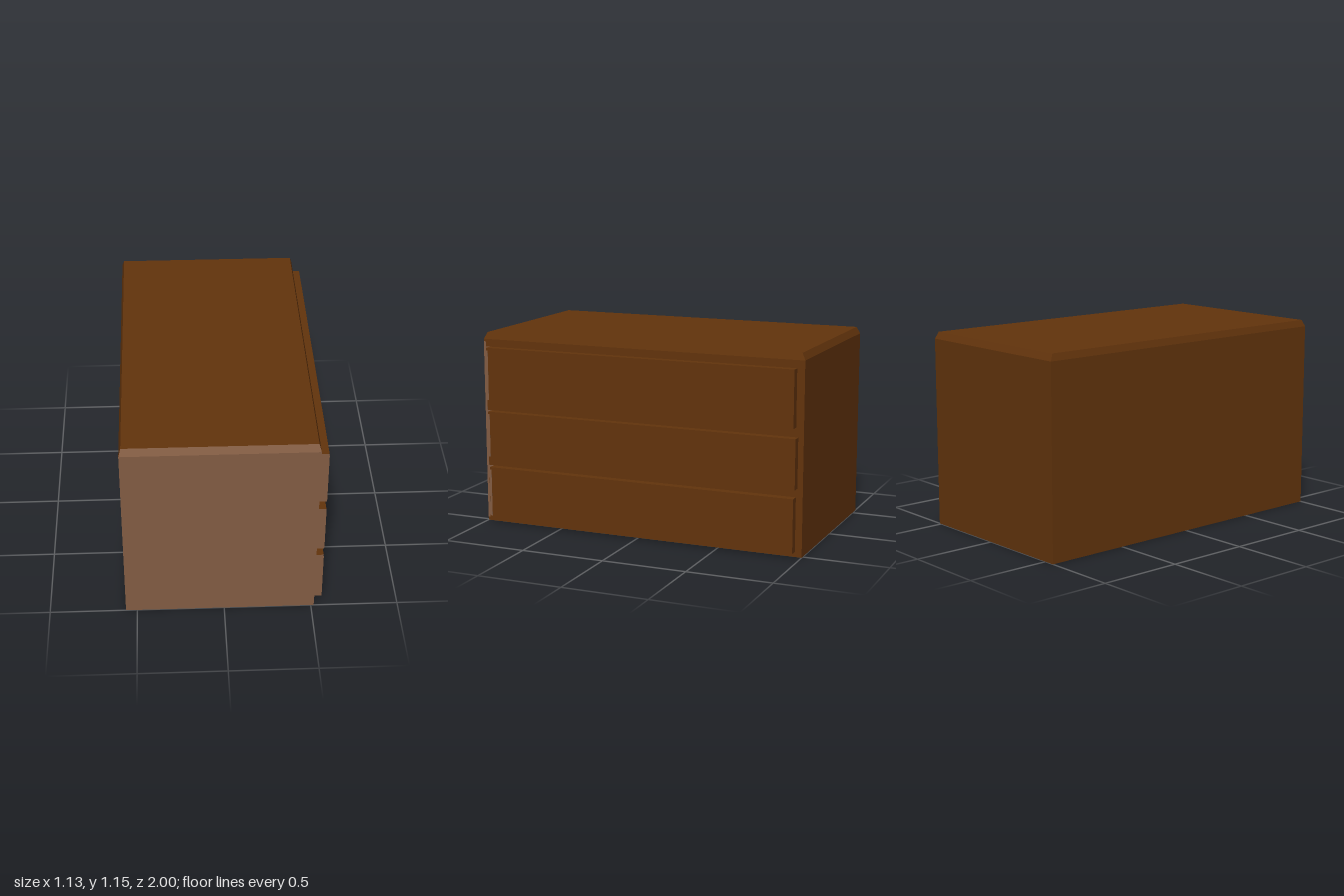
import * as THREE from 'three';

const material = (name, color) => {
  const m = new THREE.MeshStandardMaterial({ color });
  m.name = name;
  return m;
};

export function createModel() {
  const group = new THREE.Group();
  group.name = 'chestOfDrawers';
  const darkWood = material('darkWood', 0x63340c);
  const paleWood = material('paleWood', 0x825c43);
  // Box face order: +x, -x, +y, -y, +z, -z
  const faces = [darkWood, darkWood, darkWood, paleWood, paleWood, darkWood];

  const add = (name, geometry, mats, x, y, z) => {
    const mesh = new THREE.Mesh(geometry, mats);
    mesh.name = name;
    mesh.position.set(x, y, z);
    group.add(mesh);
  };

  // Cabinet: a box whose upper ring is pulled in to bevel the top edge
  const left = -0.565, right = 0.517, width = right - left;
  const height = 1.155, bevelY = 1.115;
  const box = new THREE.BoxGeometry(width, height, 2, 1, 2, 1);
  const p = box.attributes.position;
  for (let i = 0; i < p.count; i++) {
    const y = p.getY(i);
    if (Math.abs(y) < 0.01) p.setY(i, bevelY - height / 2);
    else if (y > 0) {
      p.setX(i, p.getX(i) - Math.sign(p.getX(i)) * 0.012);
      p.setZ(i, p.getZ(i) - Math.sign(p.getZ(i)) * 0.02);
    }
  }
  const cabinet = box.toNonIndexed();
  cabinet.computeVertexNormals();
  add('cabinet', cabinet, faces, (left + right) / 2, height / 2, 0);

  // Drawer fronts: [bottom, top, back end, front end]
  const drawers = [
    [0.03, 0.345, -0.96, 0.955],
    [0.395, 0.685, -0.968, 0.958],
    [0.74, 1.07, -0.955, 0.96],
  ];
  drawers.forEach(([y0, y1, z0, z1], i) => {
    const depth = 0.565 - right;
    const y = (y0 + y1) / 2;
    add('drawer' + (i + 1), new THREE.BoxGeometry(depth, y1 - y0, z1 - z0), faces,
      right + depth / 2, y, (z0 + z1) / 2);
    // Pale worn edge at the front end of the drawer
    add('drawerEdge' + (i + 1), new THREE.BoxGeometry(0.002, y1 - y0 - 0.03, 0.012), paleWood,
      0.565, y, z1 - 0.006);
    // Pale strip of cabinet beside the drawer
    const strip = 0.985 - z1;
    add('cabinetEdge' + (i + 1), new THREE.BoxGeometry(0.002, y1 - y0, strip), paleWood,
      right, y, z1 + strip / 2);
  });

  // Pale corner strip along the front edge of the cabinet side
  add('cornerEdge', new THREE.BoxGeometry(0.002, 1.08, 0.014), paleWood, right, 0.56, 0.993);

  return group;
}
